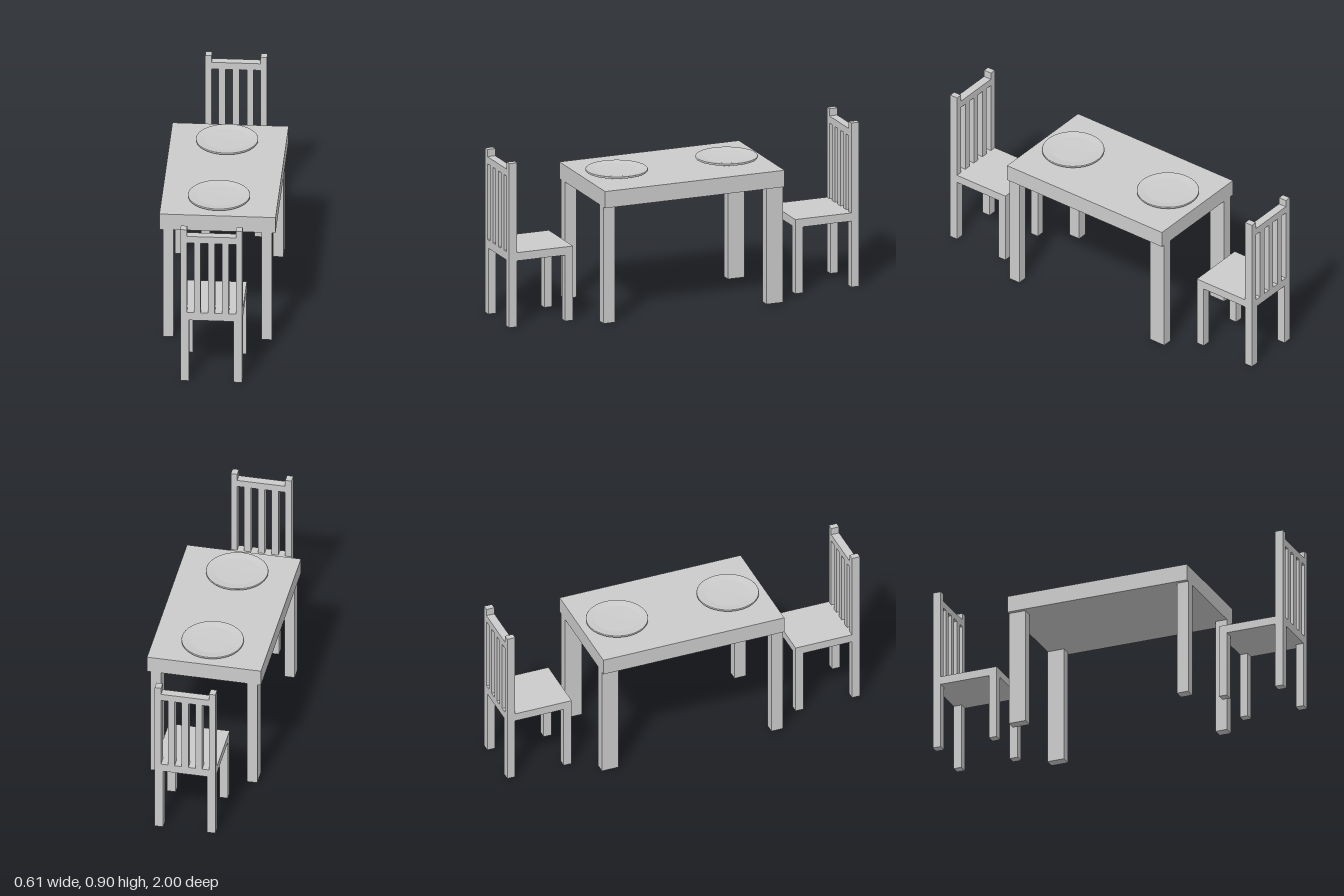
import * as THREE from 'three';

const material = new THREE.MeshStandardMaterial({ color: 0xcccccc });

// Box given by its [min, max] extents on each axis
function box(parent, name, [x0, x1], [y0, y1], [z0, z1]) {
  const mesh = new THREE.Mesh(new THREE.BoxGeometry(x1 - x0, y1 - y0, z1 - z0), material);
  mesh.position.set((x0 + x1) / 2, (y0 + y1) / 2, (z0 + z1) / 2);
  mesh.name = name;
  parent.add(mesh);
}

// The same box on the +x and -x sides
function boxPair(parent, name, [x0, x1], y, z) {
  box(parent, name + 'Left', [x0, x1], y, z);
  box(parent, name + 'Right', [-x1, -x0], y, z);
}

function createTable() {
  const table = new THREE.Group();
  table.name = 'table';
  box(table, 'tableTop', [-0.306, 0.306], [0.637, 0.728], [-0.513, 0.513]);
  // The back legs are deeper than the front ones
  boxPair(table, 'frontTableLeg', [0.231, 0.286], [0, 0.637], [0.448, 0.513]);
  boxPair(table, 'backTableLeg', [0.231, 0.286], [0, 0.637], [-0.513, -0.418]);
  return table;
}

// Chair with its backrest at z = 1, facing the table
function createChair(name) {
  const chair = new THREE.Group();
  chair.name = name;
  const back = [0.955, 1];
  box(chair, 'seat', [-0.163, 0.163], [0.361, 0.406], [0.635, 1]);
  boxPair(chair, 'frontLeg', [0.117, 0.163], [0, 0.361], [0.635, 0.68]);
  boxPair(chair, 'backLeg', [0.117, 0.163], [0, 0.361], back);
  boxPair(chair, 'backPost', [0.129, 0.163], [0.406, 0.898], back);
  box(chair, 'topRail', [-0.129, 0.129], [0.82, 0.859], back);
  for (const x of [-0.074, 0, 0.074]) {
    box(chair, 'backSlat', [x - 0.018, x + 0.018], [0.406, 0.82], back);
  }
  return chair;
}

// Shallow plate: flat base, upright edge, sloping rim and sunken centre
function createPlate(name, z) {
  const profile = [
    [0, 0.739], [0.162, 0.739], [0.162, 0.739], [0.164, 0.742], [0.164, 0.748],
    [0.162, 0.75], [0.157, 0.75], [0.125, 0.746], [0.112, 0.743], [0, 0.743],
  ].map(([r, y]) => new THREE.Vector2(r, y));
  const plate = new THREE.Mesh(new THREE.LatheGeometry(profile, 64), material);
  plate.name = name;
  plate.position.set(-0.005, 0, z);
  return plate;
}

export function createModel() {
  const model = new THREE.Group();
  model.name = 'diningSet';
  const backChair = createChair('backChair');
  backChair.rotation.y = Math.PI;
  model.add(
    createTable(),
    createChair('frontChair'),
    backChair,
    createPlate('frontPlate', 0.314),
    createPlate('backPlate', -0.314),
  );
  return model;
}
